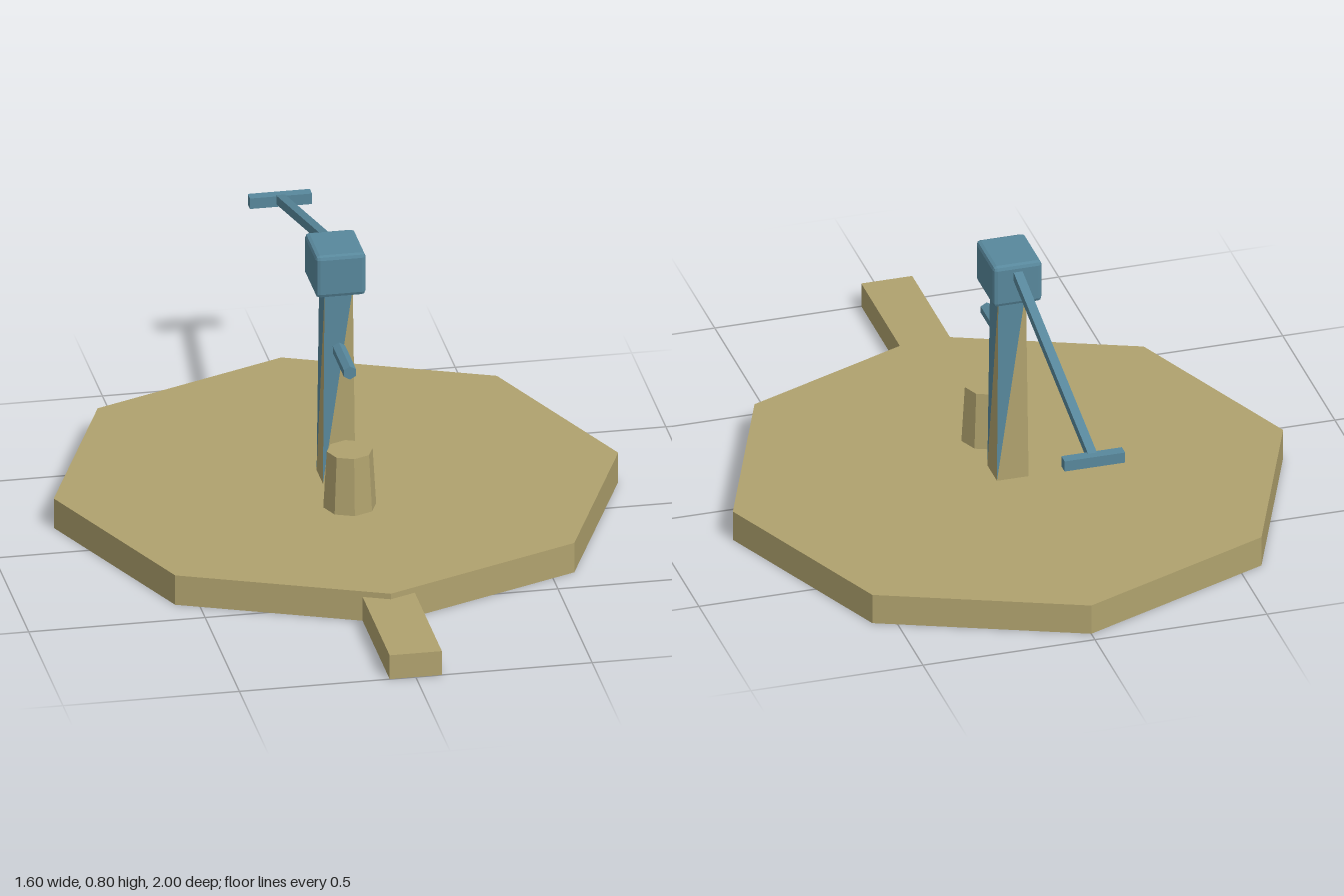
import * as THREE from 'three';
import { RoundedBoxGeometry } from 'three/addons/geometries/RoundedBoxGeometry.js';

const paint = (color) =>
  new THREE.MeshStandardMaterial({ color, flatShading: true, side: THREE.DoubleSide });

// Removes one face group (e.g. the underside) to leave an open shell.
function openShell(geometry, groupIndex) {
  const { start, count } = geometry.groups[groupIndex];
  const index = Array.from(geometry.index.array);
  index.splice(start, count);
  geometry.setIndex(index);
  geometry.clearGroups();
  return geometry;
}

export function createModel() {
  const model = new THREE.Group();
  model.name = 'waterPump';
  const wood = paint(0xb0a26e);
  const metal = paint(0x58889c);
  const axisZ = -0.165;

  function add(name, geometry, material, x, y, z, parent = model) {
    const mesh = new THREE.Mesh(geometry, material);
    mesh.name = name;
    mesh.position.set(x, y, z);
    parent.add(mesh);
    return mesh;
  }

  // Octagonal platform and drain channel, both hollow from below
  add('platform', openShell(new THREE.CylinderGeometry(0.8, 0.8, 0.09, 8), 2), wood, 0, 0.045, axisZ);
  add('drainChannel', openShell(new THREE.BoxGeometry(0.148, 0.073, 1.165), 3), wood, 0, 0.0365, 0.4175);

  // Tapered bucket stand under the spout
  add('bucketStand', openShell(new THREE.CylinderGeometry(0.065, 0.075, 0.17, 8), 2), wood, 0, 0.175, 0.035);

  // Tapered post: each side is split along its diagonal into two colours
  const bottom = 0.09, top = 0.68, rBottom = 0.046, rTop = 0.04;
  const corner = (i, r, y) => {
    const a = (i % 4) * Math.PI / 2;
    const d = r * Math.SQRT2;
    return [d * Math.sin(a - Math.PI / 4), y, d * Math.cos(a - Math.PI / 4)];
  };
  const upper = [], lower = [];
  for (let i = 0; i < 4; i++) {
    const bl = corner(i, rBottom, bottom), br = corner(i + 1, rBottom, bottom);
    const tl = corner(i, rTop, top), tr = corner(i + 1, rTop, top);
    upper.push(...bl, ...tr, ...tl);
    lower.push(...bl, ...br, ...tr);
  }
  const post = new THREE.Group();
  post.name = 'post';
  model.add(post);
  for (const [name, points, material] of [['postPaintedSides', upper, metal], ['postBareSides', lower, wood]]) {
    const geometry = new THREE.BufferGeometry();
    geometry.setAttribute('position', new THREE.Float32BufferAttribute(points, 3));
    geometry.computeVertexNormals();
    add(name, geometry, material, 0, 0, axisZ, post);
  }

  // Chamfered pump head
  add('pumpHead', new RoundedBoxGeometry(0.142, 0.128, 0.175, 1, 0.012), metal, 0, 0.735, -0.175);

  // Six-sided spout
  const spout = new THREE.CylinderGeometry(0.02, 0.02, 0.17, 6);
  spout.rotateX(Math.PI / 2);
  add('spout', spout, metal, 0, 0.497, -0.045);

  // Sloping lever with a cross grip
  const from = new THREE.Vector3(0, 0.775, -0.22);
  const to = new THREE.Vector3(0, 0.57, -0.975);
  const lever = add('lever', new THREE.BoxGeometry(0.026, 0.026, from.distanceTo(to)), metal, 0, 0, 0);
  lever.position.lerpVectors(from, to, 0.5);
  lever.rotation.x = -Math.atan2(from.y - to.y, from.z - to.z);
  add('grip', new THREE.BoxGeometry(0.176, 0.032, 0.032), metal, 0, 0.567, -0.984);

  return model;
}
